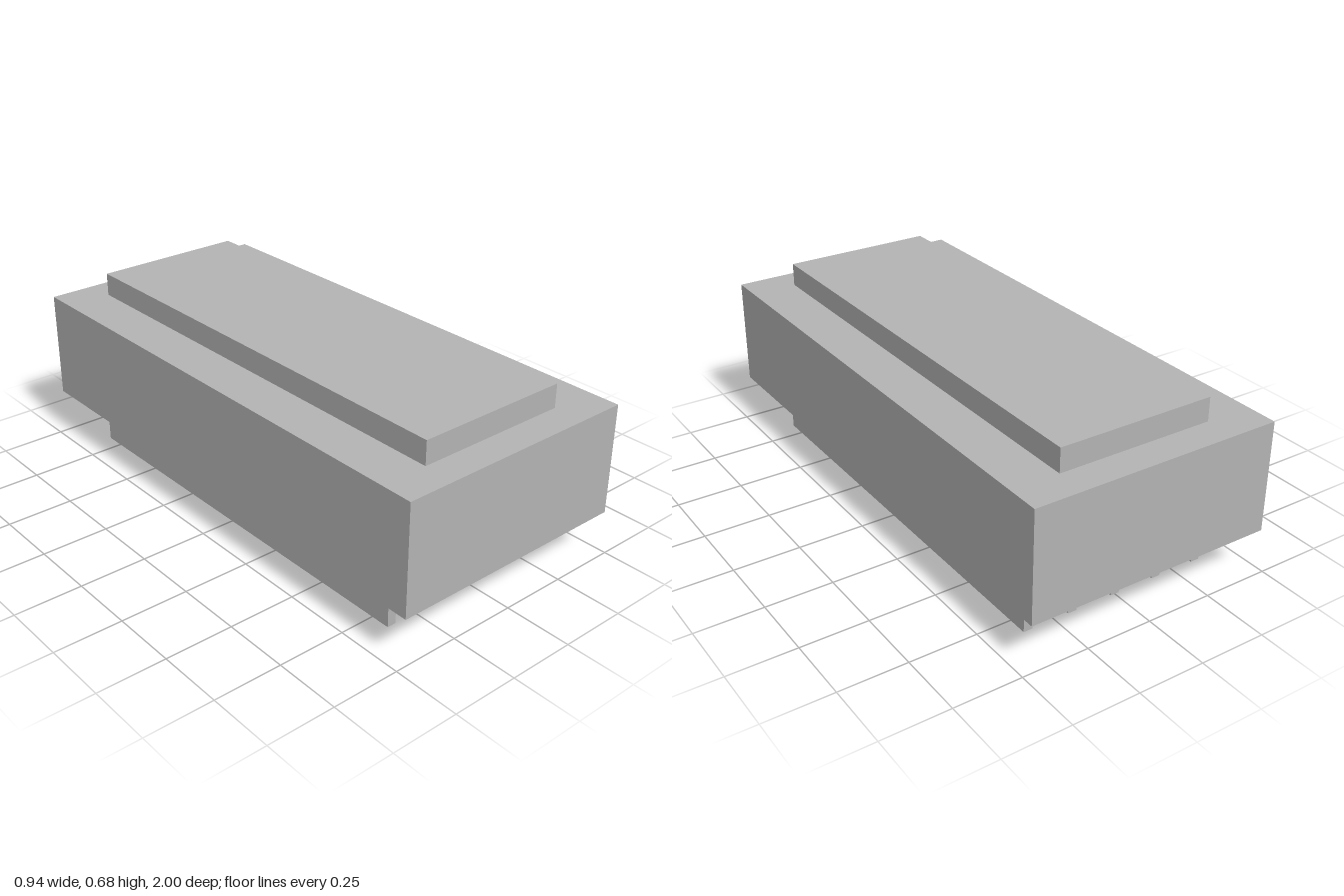
import * as THREE from 'three';

export function createModel() {
  const model = new THREE.Group();
  const grey = new THREE.MeshStandardMaterial({ color: 0xb3b3b3 });
  grey.name = 'grey';

  // Box standing on a given height
  function box(name, width, height, depth, x, bottom) {
    const mesh = new THREE.Mesh(new THREE.BoxGeometry(width, height, depth), grey);
    mesh.name = name;
    mesh.position.set(x, bottom + height / 2, 0);
    model.add(mesh);
  }

  const finHeight = 0.178;
  const bodyHeight = 0.411;

  // Main housing and the raised plate on top
  box('body', 0.94, bodyHeight, 2, 0, finHeight);
  box('topPlate', 0.588, 0.088, 1.764, 0, finHeight + bodyHeight);

  // Five parallel fins underneath
  for (let i = -2; i <= 2; i++) {
    box(`fin${i + 3}`, 0.034, finHeight, 1.646, i * 0.1765, 0);
  }

  return model;
}
